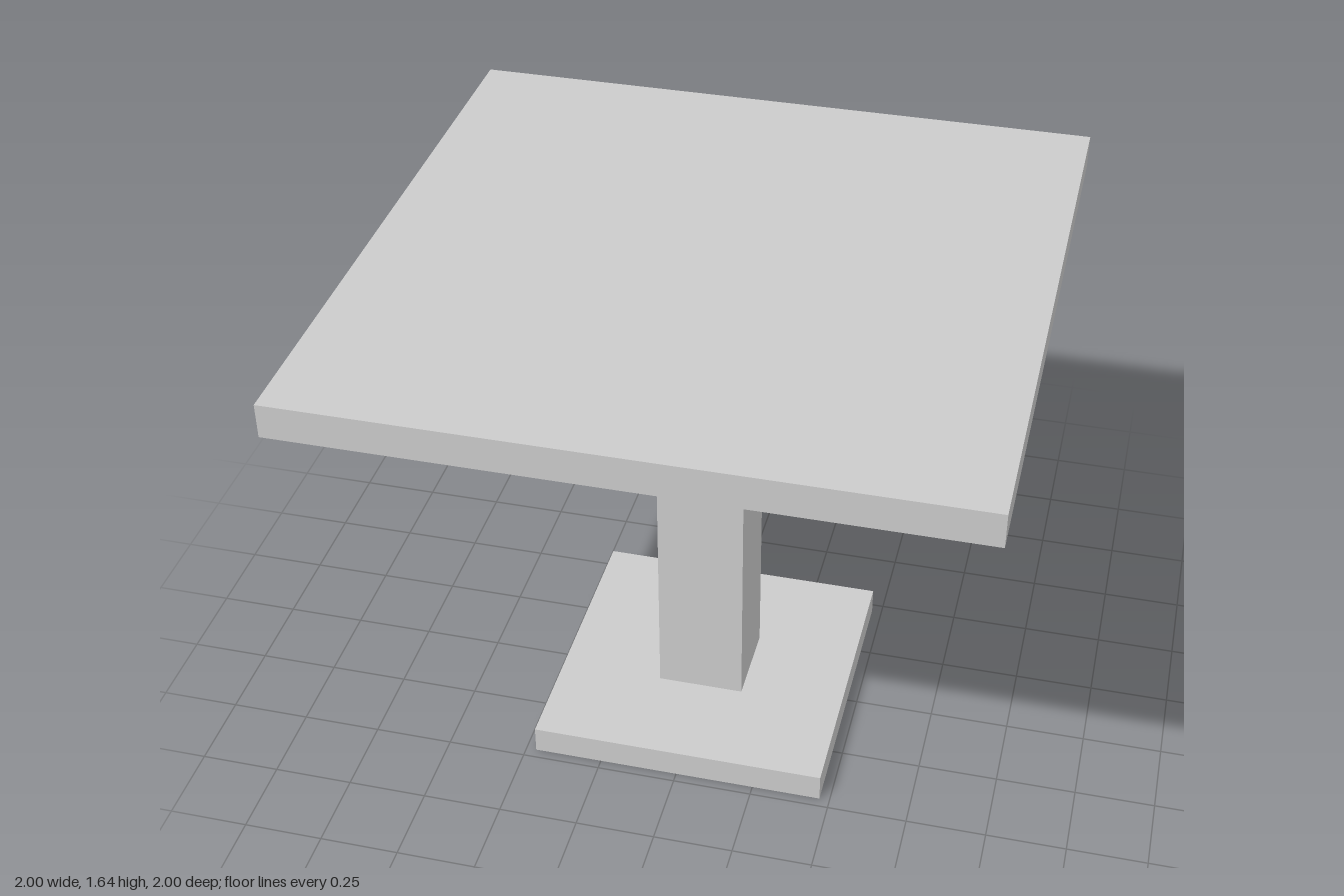
import * as THREE from 'three';

export function createModel() {
  const model = new THREE.Group();
  model.name = 'pedestalTable';
  const material = new THREE.MeshStandardMaterial({ color: 0xcccccc });

  // Square slab of the given width, spanning bottom to top
  function addSlab(name, width, bottom, top) {
    const mesh = new THREE.Mesh(new THREE.BoxGeometry(width, top - bottom, width), material);
    mesh.name = name;
    mesh.position.y = (bottom + top) / 2;
    model.add(mesh);
  }

  addSlab('base', 0.935, 0, 0.09);
  addSlab('column', 0.275, 0.09, 1.54);
  addSlab('tableTop', 2, 1.54, 1.645);

  return model;
}
